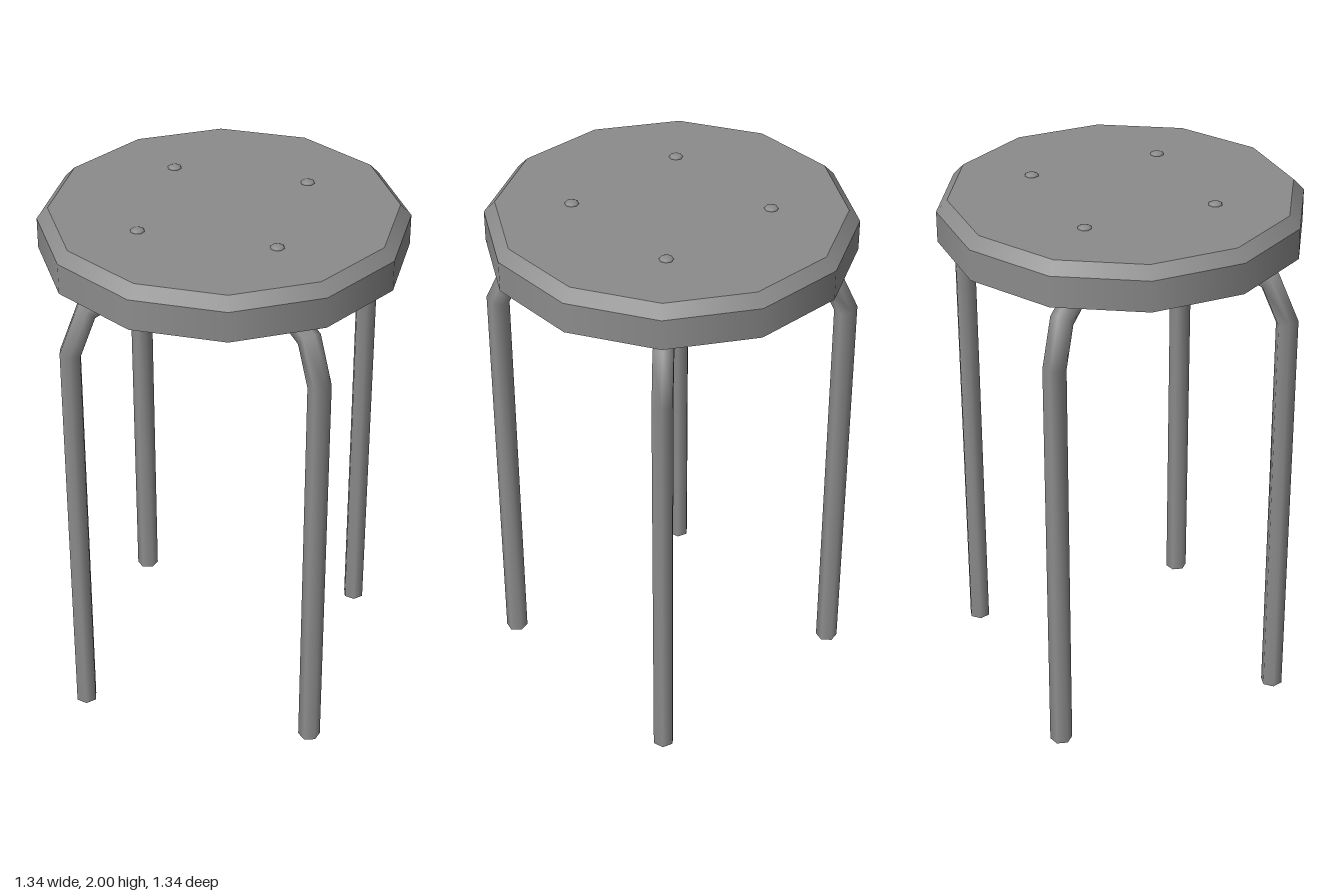
import * as THREE from 'three';
import { mergeGeometries } from 'three/addons/utils/BufferGeometryUtils.js';

const SIDES = 6, TUBE_R = 0.0415, SEAT_R = 0.662;
const material = new THREE.MeshStandardMaterial({ color: 0x8c8c8c });

function addMesh(parent, geometry, name) {
  const mesh = new THREE.Mesh(geometry, material);
  mesh.name = name;
  parent.add(mesh);
  return mesh;
}

// Hexagonal tube with mitred bends along a path in the XY plane
function mitredTube(path) {
  const positions = [], indices = [];
  path.forEach((p, i) => {
    const before = p.clone().sub(path[Math.max(i - 1, 0)]).normalize();
    const after = path[Math.min(i + 1, path.length - 1)].clone().sub(p).normalize();
    const tangent = before.clone().add(after).normalize();
    const stretch = 1 / tangent.dot(i ? before : after);
    for (let j = 0; j < SIDES; j++) {
      const a = (j / SIDES) * Math.PI * 2;
      const out = Math.cos(a) * TUBE_R * stretch;
      positions.push(p.x - tangent.y * out, p.y + tangent.x * out, Math.sin(a) * TUBE_R);
      if (i === 0) continue;
      const k = (j + 1) % SIDES, r0 = (i - 1) * SIDES, r1 = i * SIDES;
      indices.push(r0 + j, r0 + k, r1 + j, r0 + k, r1 + k, r1 + j);
    }
  });
  const geometry = new THREE.BufferGeometry();
  geometry.setAttribute('position', new THREE.Float32BufferAttribute(positions, 3));
  geometry.setIndex(indices);
  geometry.computeVertexNormals();
  return geometry;
}

export function createModel() {
  const stool = new THREE.Group();
  stool.name = 'stool';

  // Twelve-sided seat: straight rim, bevelled edge, flat top and underside
  const rim = new THREE.CylinderGeometry(SEAT_R, SEAT_R, 0.115, 12, 1, true).translate(0, 1.8905, 0);
  const bevel = new THREE.CylinderGeometry(0.622, SEAT_R, 0.042, 12, 1, true).translate(0, 1.969, 0);
  const top = new THREE.CircleGeometry(0.622, 12).rotateX(-Math.PI / 2).translate(0, 1.99, 0);
  const underside = new THREE.CircleGeometry(SEAT_R, 12).rotateX(Math.PI / 2).translate(0, 1.833, 0);
  addMesh(stool, mergeGeometries([rim, bevel, top, underside]), 'seat');

  // Two crossing bent-tube frames, each forming a pair of legs
  const half = [[0.63, 0], [0.63, 1.582], [0.56, 1.735], [0.39, 1.79]];
  const path = [
    ...half.map(([x, y]) => new THREE.Vector2(-x, y)),
    ...half.map(([x, y]) => new THREE.Vector2(x, y)).reverse(),
  ];
  const caps = [-0.63, 0.63].map((x) =>
    new THREE.CircleGeometry(TUBE_R, SIDES).rotateX(Math.PI / 2).translate(x, 0, 0));
  const tube = mitredTube(path), foot = mergeGeometries(caps);
  for (let i = 0; i < 2; i++) {
    const frame = new THREE.Group();
    frame.name = i ? 'frontBackLegFrame' : 'sideLegFrame';
    frame.rotation.y = (i * Math.PI) / 2;
    addMesh(frame, tube, 'legTube');
    addMesh(frame, foot, 'footCaps');
    stool.add(frame);
  }

  // Low domed screw heads above each tube
  const dome = new THREE.SphereGeometry(0.026, 8, 3, 0, Math.PI * 2, 0, Math.PI / 2).scale(1, 0.4, 1);
  for (let i = 0; i < 4; i++) {
    const a = (i * Math.PI) / 2;
    addMesh(stool, dome, 'screwHead').position.set(0.35 * Math.cos(a), 1.99, 0.35 * Math.sin(a));
  }
  return stool;
}
